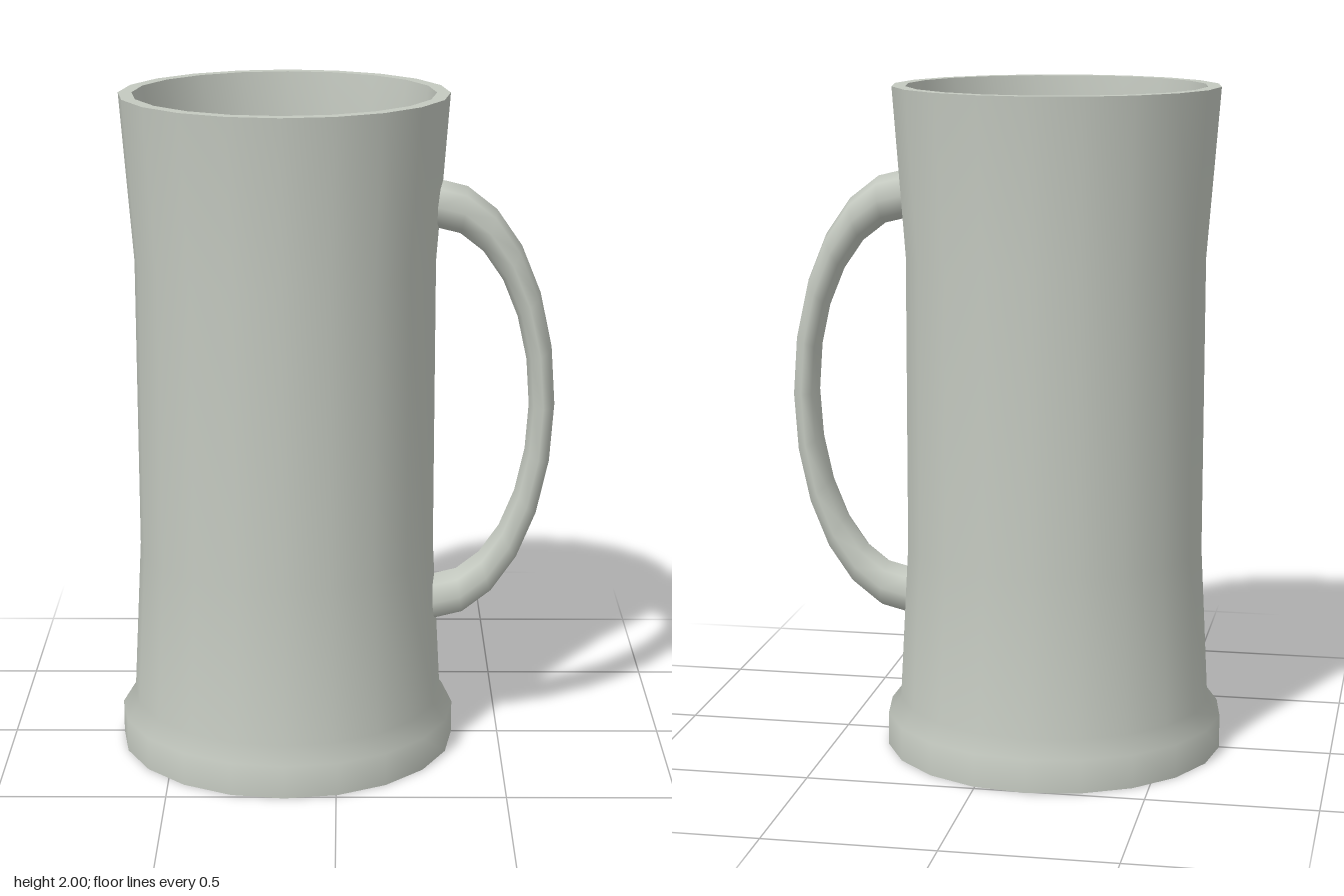
import * as THREE from 'three';

const SIDES = 20;
const BODY_X = -0.153;

export function createModel() {
  const group = new THREE.Group();
  group.name = 'mug';

  const glaze = new THREE.MeshStandardMaterial({ color: 0xc4c9c0 });
  glaze.name = 'paleGrey';
  const drink = new THREE.MeshStandardMaterial({ color: 0x9c9872 });
  drink.name = 'oliveLiquid';

  const add = (name, geometry, material, x, y) => {
    const mesh = new THREE.Mesh(geometry, material);
    mesh.name = name;
    mesh.position.set(x, y, 0);
    group.add(mesh);
    return mesh;
  };
  const lathe = (name, profile) => add(
    name,
    new THREE.LatheGeometry(profile.map(([r, y]) => new THREE.Vector2(r, y)), SIDES),
    glaze, BODY_X, 0,
  );

  // Body: separate shells keep the rim and floor edges crisp
  lathe('outerWall', [[0.51, 0], [0.51, 0.1], [0.472, 0.15], [0.447, 0.62], [0.447, 1.5], [0.485, 2]]);
  lathe('rim', [[0.485, 2], [0.445, 2]]);
  lathe('innerWall', [[0.445, 2], [0.406, 1.6], [0.406, 0.1]]);
  lathe('innerFloor', [[0.406, 0.1], [0, 0.1]]);
  lathe('underside', [[0, 0], [0.51, 0]]);

  // Liquid surface
  const disc = new THREE.CircleGeometry(0.406, SIDES).rotateX(-Math.PI / 2);
  add('liquid', disc, drink, BODY_X, 1.615);

  // Handle: half ring squashed sideways
  const ring = new THREE.TorusGeometry(0.614, 0.073, 8, 12, Math.PI);
  ring.rotateZ(-Math.PI / 2).scale(0.53, 1, 1);
  add('handle', ring, glaze, 0.291, 1.061);

  return group;
}
